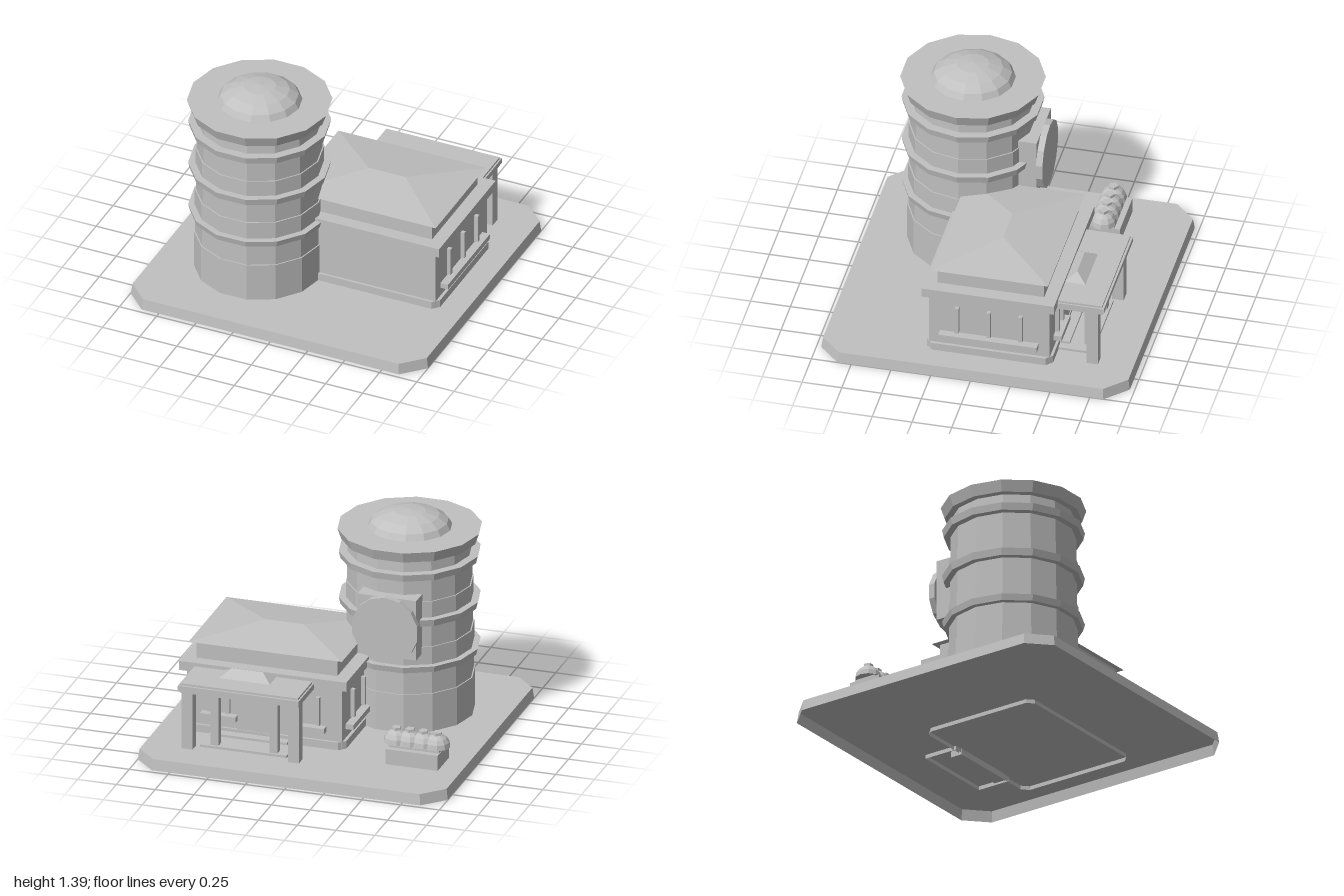
import * as THREE from 'three';

export function createModel() {
  const model = new THREE.Group();
  const stone = new THREE.MeshStandardMaterial({ color: 0xc0c0c0, side: THREE.DoubleSide });
  stone.name = 'greyStone';

  // Facet a geometry and add it as a named part
  function add(name, geometry, parent = model) {
    const faceted = geometry.index ? geometry.toNonIndexed() : geometry;
    faceted.computeVertexNormals();
    const mesh = new THREE.Mesh(faceted, stone);
    mesh.name = name;
    parent.add(mesh);
    return mesh;
  }

  // Box given by its extents
  function box(name, x0, x1, y0, y1, z0, z1, parent) {
    const g = new THREE.BoxGeometry(x1 - x0, y1 - y0, z1 - z0);
    g.translate((x0 + x1) / 2, (y0 + y1) / 2, (z0 + z1) / 2);
    return add(name, g, parent);
  }

  // Horizontal rectangle of points with optional cut corners
  function rect(cx, cz, y, hx, hz, c = 0) {
    const corners = c
      ? [[hx, hz - c], [hx, c - hz], [hx - c, -hz], [c - hx, -hz],
         [-hx, c - hz], [-hx, hz - c], [c - hx, hz], [hx - c, hz]]
      : [[hx, hz], [hx, -hz], [-hx, -hz], [-hx, hz]];
    return corners.map(([x, z]) => [cx + x, y, cz + z]);
  }

  // Skin between two point rings, with optional caps
  function loft(low, high, capTop = true, capBottom = false) {
    const p = [];
    const n = low.length;
    for (let i = 0; i < n; i++) {
      const j = (i + 1) % n;
      p.push(...low[i], ...low[j], ...high[j], ...low[i], ...high[j], ...high[i]);
    }
    for (let i = 1; i < n - 1; i++) {
      if (capTop) p.push(...high[0], ...high[i], ...high[i + 1]);
      if (capBottom) p.push(...low[0], ...low[i + 1], ...low[i]);
    }
    const g = new THREE.BufferGeometry();
    g.setAttribute('position', new THREE.Float32BufferAttribute(p, 3));
    return g;
  }

  // Hipped roof with a ridge along x
  function hip(name, cx, cz, y0, y1, hx, hz, ridge) {
    add(name, loft(rect(cx, cz, y0, hx, hz), rect(cx, cz, y1, ridge, 0), false, true));
  }

  // Faceted turned shape
  function turned(name, points, sides, x, z, parent) {
    const profile = points.map(([r, y]) => new THREE.Vector2(r, y));
    const g = new THREE.LatheGeometry(profile, sides, Math.PI / sides);
    g.translate(x, 0, z);
    return add(name, g, parent);
  }

  // Ground slab, open underneath
  add('groundSlab', loft(rect(0, 0, 0, 1, 0.97, 0.135), rect(0, 0, 0.07, 0.99, 0.96, 0.13)));

  // Round tower with ring ledges and a flaring cornice
  const tx = -0.373, tz = 0.308;
  turned('tower', [
    [0, 0.07], [0.403, 0.07], [0.403, 0.32], [0.395, 0.32], [0.395, 0.475],
    [0.428, 0.475], [0.438, 0.515], [0.398, 0.515], [0.398, 0.63], [0.39, 0.63], [0.39, 0.78],
    [0.428, 0.78], [0.438, 0.825], [0.394, 0.825], [0.394, 0.93], [0.386, 0.93], [0.386, 1.085],
    [0.428, 1.085], [0.438, 1.13], [0.384, 1.13], [0.38, 1.21],
    [0.422, 1.21], [0.446, 1.28], [0, 1.28],
  ], 14, tx, tz);
  turned('towerDome', [
    [0.262, 1.28], [0.24, 1.318], [0.185, 1.355], [0.1, 1.381], [0, 1.39],
  ], 14, tx, tz);

  // Round plaque on the back of the tower
  box('plaqueMount', tx - 0.19, tx + 0.19, 0.585, 0.98, -0.137, 0.02);
  const disc = new THREE.CylinderGeometry(0.215, 0.215, 0.04, 14);
  disc.rotateX(Math.PI / 2);
  disc.translate(tx, 0.778, -0.157);
  add('roundPlaque', disc);

  // Hall: plinth, walls, cornice, attic and hipped roof
  const hx = 0.31, hz = -0.073;
  add('hallPlinth', loft(rect(hx, hz, 0.045, 0.52, 0.397, 0.04), rect(hx, hz, 0.12, 0.52, 0.397, 0.04)));
  box('hallWalls', hx - 0.5, hx + 0.5, 0.07, 0.48, hz - 0.38, hz + 0.38);
  box('hallCornice', hx - 0.54, hx + 0.54, 0.475, 0.535, hz - 0.417, hz + 0.417);
  box('hallAttic', hx - 0.455, hx + 0.455, 0.535, 0.65, hz - 0.335, hz + 0.335);
  hip('hallRoof', hx, hz, 0.648, 0.7, 0.495, 0.368, 0.123);

  // Slender pilasters and a sill on both side walls
  for (const side of [-1, 1]) {
    const span = (a, b) => (side > 0 ? [hx + a, hx + b] : [hx - b, hx - a]);
    for (const dz of [-0.2, 0, 0.2]) {
      box('sidePilaster', ...span(0.49, 0.525), 0.22, 0.405, hz + dz - 0.012, hz + dz + 0.012);
    }
    box('sideSill', ...span(0.49, 0.552), 0.178, 0.213, hz - 0.31, hz + 0.31);

    // Pilasters and sill on the back wall, either side of the door
    for (const dx of [0.23, 0.35]) {
      const x = hx + side * dx;
      box('backPilaster', x - 0.012, x + 0.012, 0.22, 0.405, -0.48, -0.44);
    }
    box('backSill', ...span(0.17, 0.4), 0.178, 0.213, -0.505, -0.44);
  }

  // Portico on the back
  const px = 0.37;
  box('door', px - 0.11, px + 0.11, 0.07, 0.36, -0.465, -0.44);
  add('porticoFloor', loft(rect(px, -0.57, 0.045, 0.28, 0.115), rect(px, -0.57, 0.085, 0.28, 0.115)));
  box('doorStep', px - 0.23, px + 0.23, 0.03, 0.1, -0.53, -0.45);
  for (const side of [-1, 1]) {
    const outer = px + side * 0.343, inner = px + side * 0.19;
    box('outerPost', outer - 0.035, outer + 0.035, 0.07, 0.455, -0.742, -0.67);
    box('innerPost', inner - 0.025, inner + 0.025, 0.085, 0.455, -0.67, -0.62);
  }
  box('porticoRoof', px - 0.38, px + 0.38, 0.45, 0.513, -0.768, -0.45);
  box('porticoRoofBand', px - 0.39, px + 0.39, 0.468, 0.5, -0.782, -0.45);
  hip('porticoRidge', 0.387, -0.55, 0.513, 0.56, 0.165, 0.067, 0.1);

  // Row of four domed tanks on a low base
  const tanks = new THREE.Group();
  tanks.name = 'tankRow';
  model.add(tanks);
  box('tankBase', -0.85, -0.515, 0.07, 0.17, -0.582, -0.362, tanks);
  box('tankBed', -0.845, -0.52, 0.17, 0.182, -0.545, -0.398, tanks);
  for (let i = 0; i < 4; i++) {
    const x = -0.81 + i * 0.087;
    const dome = [[0, 0.182]];
    for (let k = 0; k <= 4; k++) {
      const a = k * Math.PI / 8;
      dome.push([0.083 * Math.cos(a), 0.185 + 0.083 * Math.sin(a)]);
    }
    turned('tankDome', dome, 10, x, -0.472, tanks);
    turned('tankCap', [[0.033, 0.25], [0.03, 0.28], [0, 0.28]], 5, x, -0.472, tanks);
  }

  return model;
}
